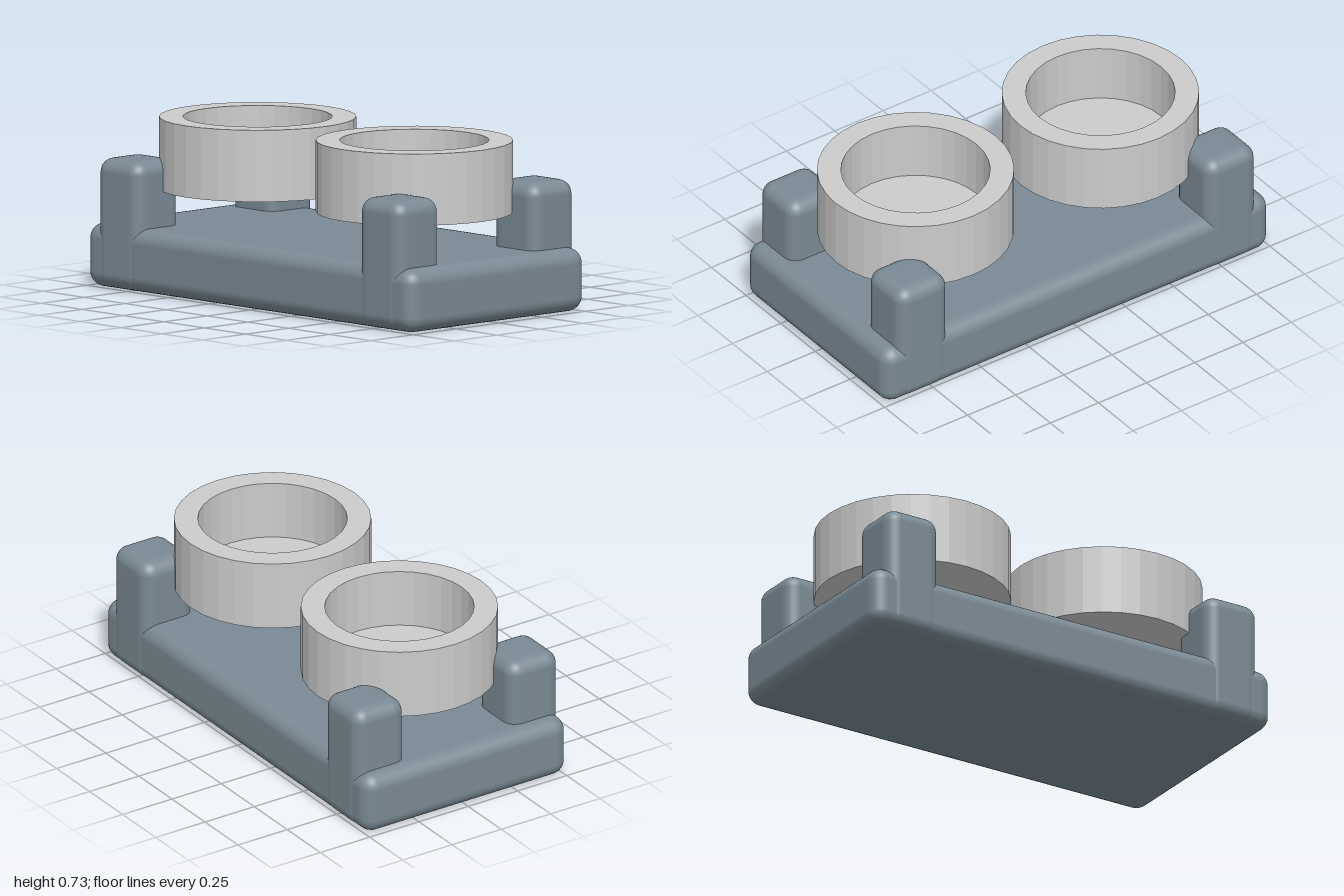
import * as THREE from 'three';
import { RoundedBoxGeometry } from 'three/addons/geometries/RoundedBoxGeometry.js';

export function createModel() {
  const model = new THREE.Group();
  const slate = new THREE.MeshStandardMaterial({ color: 0x7a8a94 });
  const grey = new THREE.MeshStandardMaterial({ color: 0xcccccc, flatShading: true });

  const add = (name, geometry, material, x, y, z) => {
    const mesh = new THREE.Mesh(geometry, material);
    mesh.name = name;
    mesh.position.set(x, y, z);
    model.add(mesh);
  };

  // Rounded slab
  add('base', new RoundedBoxGeometry(2, 0.27, 1.03, 4, 0.065), slate, 0, 0.135, 0);

  // Corner posts, sunk through the slab and slightly proud of its long sides
  const post = new RoundedBoxGeometry(0.26, 0.55, 0.255, 4, 0.06);
  for (const [side, x] of [['left', 0.8], ['right', -0.8]]) {
    add(side + 'FrontPost', post, slate, x, 0.279, 0.391);
    add(side + 'BackPost', post, slate, x, 0.279, -0.391);
  }

  // Two thick-walled cups, each with a recessed floor
  const profile = [[0, 0.42], [0.416, 0.42], [0.416, 0.725], [0.315, 0.725], [0.315, 0.47], [0, 0.47]]
    .map(([r, y]) => new THREE.Vector2(r, y));
  const cup = new THREE.LatheGeometry(profile, 32);
  add('leftCup', cup, grey, 0.48, 0, 0);
  add('rightCup', cup, grey, -0.48, 0, 0);

  return model;
}
